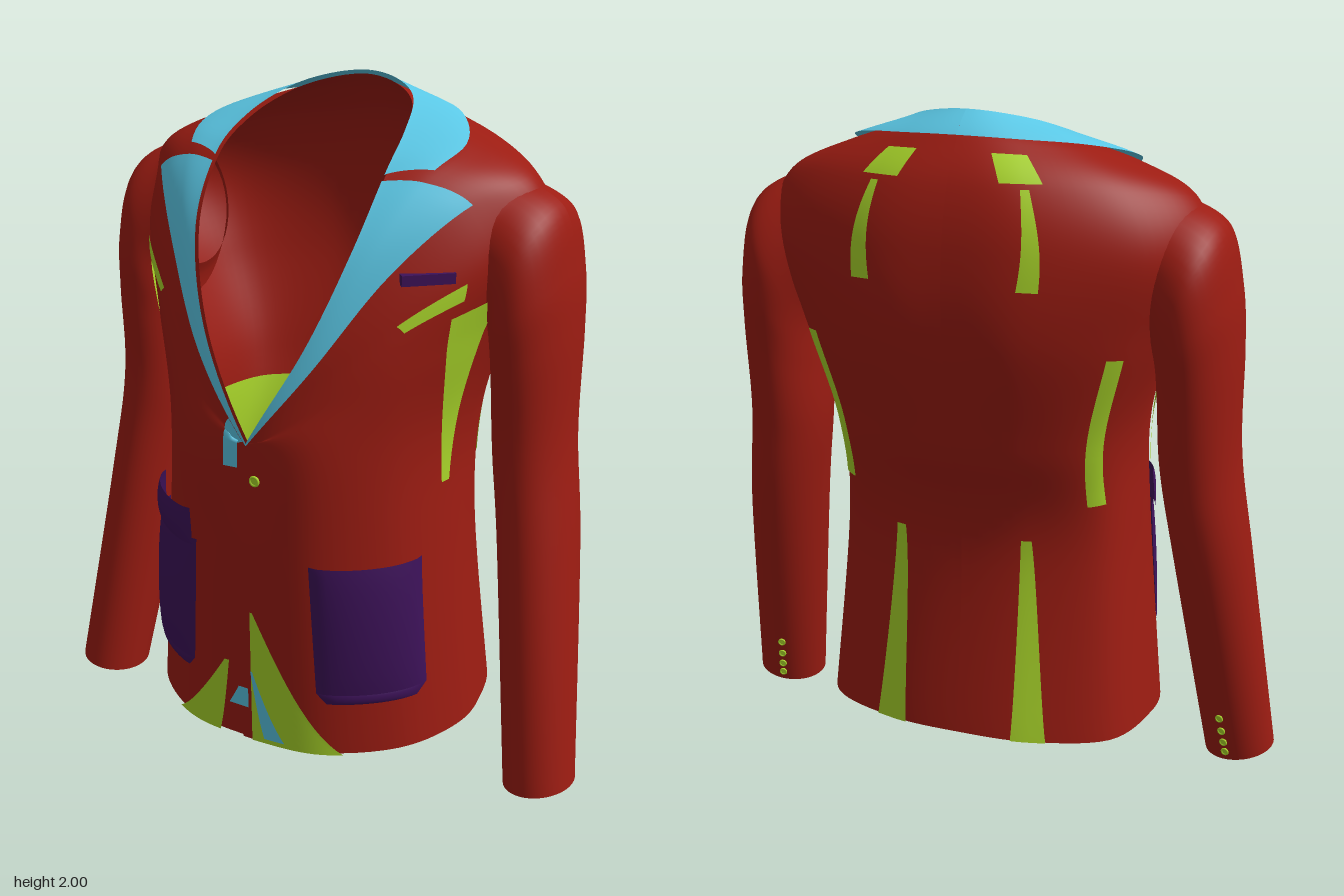
import * as THREE from 'three';

const RED = 0x9c1c12, LIME = 0xaad62a, CYAN = 0x5bc8e6, PURPLE = 0x3d1259;
const mat = (color) => new THREE.MeshStandardMaterial({ color, side: THREE.DoubleSide, roughness: 0.9 });
const lerp = THREE.MathUtils.lerp;

// Waist section: widths and depths at eight stations from front centre round to back centre
const WIDTH = [0, .43, .8, .98, 1, .86, .43, 0];
const DEPTH = [1, .96, .7, .34, 0, -.62, -.92, -1];
const waistRing = (yFront, yBack, w, zMid, zFront, zBack) => WIDTH.map((x, i) => [
  x * w, lerp(yFront, yBack, i / 7), zMid + DEPTH[i] * (DEPTH[i] > 0 ? zFront - zMid : zMid - zBack),
]);

// Armpit, shoulder and neckline sections at the same stations
const ARMPIT = [[0, 1.06, .455], [.2, 1.2, .41], [.38, 1.3, .3], [.5, 1.35, .13], [.54, 1.38, -.1], [.47, 1.4, -.3], [.22, 1.42, -.435], [0, 1.42, -.45]];
const SHOULDER = [[0, 1.072, .455], [.18, 1.31, .405], [.34, 1.56, .28], [.49, 1.73, .11], [.6, 1.78, -.08], [.45, 1.82, -.27], [.21, 1.83, -.38], [0, 1.83, -.4]];
const NECK = [[0, 1.08, .455], [.155, 1.36, .405], [.245, 1.62, .305], [.268, 1.8, .165], [.252, 1.89, .02], [.2, 1.95, -.13], [.11, 1.985, -.21], [0, 2, -.24]];

// Section halfway between two others, filled out away from the front edge
const between = (a, b, widen, raise, push) => a.map((p, i) => {
  const k = Math.min(i / 3, 1), [x, y, z] = p.map((c, n) => (c + b[i][n]) / 2);
  return [x * (1 + widen * k), y + raise * k, z + push * k];
});

const RINGS = [
  waistRing(.12, .17, .515, -.03, .45, -.37),
  waistRing(.75, .75, .46, -.02, .455, -.31),
  waistRing(1.05, 1.1, .455, -.05, .455, -.39),
  ARMPIT, between(ARMPIT, SHOULDER, .13, .035, -.02),
  SHOULDER, between(SHOULDER, NECK, 0, .025, 0), NECK,
];

// Catmull-Rom through points, with a function supplying neighbours past the ends
const cubic = (a, b, c, d, t) => b + .5 * t * (c - a + t * (2 * a - 5 * b + 4 * c - d + t * (3 * (b - c) + d - a)));
function spline(get, n, t) {
  const i = Math.min(Math.floor(t), n - 2), f = t - i;
  const [a, b, c, d] = [get(i - 1), get(i), get(i + 1), get(i + 2)];
  return b.map((_, k) => cubic(a[k], b[k], c[k], d[k], f));
}
const clampGet = (list) => (i) => list[Math.min(Math.max(i, 0), list.length - 1)];

// Sections mirror at the back but keep a sharp V at the front
function ringPoint(ring, u) {
  return spline((i) => {
    if (i < 0) return [-ring[1][0], 2 * ring[0][1] - ring[1][1], ring[1][2]];
    if (i > 7) return [-ring[6][0], ring[6][1], ring[6][2]];
    return ring[i];
  }, 8, u);
}

// Torso surface: u from -7 (back) through 0 (front) to 7 (back), v from 0 (hem) to 7 (neckline)
function surface(u, v) {
  const rows = RINGS.map((r) => ringPoint(r, Math.abs(u)));
  const [x, y, z] = spline(clampGet(rows), 8, v);
  return new THREE.Vector3(u < 0 ? -x : x, y, z);
}
function offsetSurface(u, v, off) {
  const e = .02;
  const du = surface(Math.min(u + e, 7), v).sub(surface(Math.max(u - e, -7), v));
  const dv = surface(u, Math.min(v + e, 7)).sub(surface(u, Math.max(v - e, 0)));
  return surface(u, v).addScaledVector(du.cross(dv).normalize(), off);
}

// Smooth sheet from a function of s and t in 0..1
function sheet(name, color, fn, nu, nv) {
  const pos = [], idx = [];
  for (let j = 0; j <= nv; j++) for (let i = 0; i <= nu; i++) {
    pos.push(...fn(i / nu, j / nv).toArray());
    if (i < nu && j < nv) {
      const a = j * (nu + 1) + i, d = a + nu + 1;
      idx.push(a, a + 1, d, a + 1, d + 1, d);
    }
  }
  const g = new THREE.BufferGeometry();
  g.setAttribute('position', new THREE.Float32BufferAttribute(pos, 3));
  g.setIndex(idx);
  g.computeVertexNormals();
  const m = new THREE.Mesh(g, mat(color));
  m.name = name;
  return m;
}

// Four-sided panel lying on the torso: bottom and top are [uStart, uEnd, v]
function panel(name, color, bottom, top, off = .006, bulge = 0, n = 14) {
  return sheet(name, color, (s, t) => {
    const u = lerp(lerp(bottom[0], top[0], t), lerp(bottom[1], top[1], t), s);
    const puff = bulge * Math.sqrt(Math.sin(Math.PI * s) * Math.sin(Math.PI * lerp(.08, .85, t)));
    return offsetSurface(u, lerp(bottom[2], top[2], t), off + puff);
  }, n, n);
}

// Sleeve sections: inner x, inner y, outer x, outer y, front z, back z
const SLEEVE = [
  [.49, 1.4, .57, 1.78, .1, -.28], [.505, 1.36, .69, 1.71, .12, -.31], [.515, 1.3, .735, 1.54, .125, -.305],
  [.52, 1.2, .75, 1.36, .11, -.28], [.53, 1, .757, 1.05, .09, -.24], [.57, .72, .8, .72, .115, -.19],
  [.67, .01, .88, .04, .21, -.02],
];
function sleevePoint(side, a, w) {
  const [ix, iy, ox, oy, zf, zb] = spline(clampGet(SLEEVE), 7, w);
  const c = (1 + Math.cos(a)) / 2, s = (1 + Math.sin(a)) / 2;
  return new THREE.Vector3(side * lerp(ix, ox, c), lerp(iy, oy, c), lerp(zb, zf, s));
}

function button(name, r, p, dir) {
  const b = new THREE.Group();
  b.name = name;
  const rim = new THREE.Mesh(new THREE.TorusGeometry(r * .75, r * .25, 8, 18), mat(LIME));
  const disc = new THREE.Mesh(new THREE.CylinderGeometry(r * .8, r * .8, r * .25, 18), mat(LIME));
  disc.rotation.x = Math.PI / 2;
  b.add(rim, disc);
  b.position.copy(p);
  b.quaternion.setFromUnitVectors(new THREE.Vector3(0, 0, 1), dir.normalize());
  return b;
}

export function createModel() {
  const g = new THREE.Group();
  g.name = 'jacket';

  // Body shell and lower lining
  g.add(sheet('body', RED, (s, t) => surface(lerp(-7, 7, s), 7 * t), 112, 70));
  g.add(sheet('lining', LIME, (s, t) => offsetSurface(lerp(-7, 7, s), 1.7 * t, -.01), 84, 16));

  // Front overlap, lapel tip and button
  g.add(panel('frontOverlap', RED, [-.15, .4, 0], [-.15, .3, 2], .008));
  g.add(panel('lapelTip', CYAN, [-.38, -.15, 1.75], [-.3, -.05, 5], .014));
  g.add(button('frontButton', .017, new THREE.Vector3(.025, .97, .466), new THREE.Vector3(0, 0, 1)));

  for (const side of [1, -1]) {
    const label = side > 0 ? 'left' : 'right';
    const add = (name, color, b, t, ...rest) => {
      const flip = ([u0, u1, v]) => (side > 0 ? [u0, u1, v] : [-u1, -u0, v]);
      g.add(panel(label + name, color, flip(b), flip(t), ...rest));
    };

    // Lapel and collar, with a notch between them
    add('Lapel', CYAN, [0, 3.05, 5], [0, 2.9, 7], .013, 0, 24);
    add('Collar', CYAN, [3.2, 7, 6.05], [3, 7, 7], .013, 0, 24);

    // Hip pocket with a narrowed lower edge
    add('Pocket', PURPLE, [.97, 2.5, .38], [.93, 2.55, .97], .01, .03);
    add('PocketBase', PURPLE, [1.1, 2.32, .33], [.97, 2.5, .38], .01, .01);

    // Lining-coloured patches at the underarm, chest and back
    add('UnderarmPatch', LIME, [3, 3.2, 1.5], [2.6, 3.3, 3.5]);
    add('ChestPatch', LIME, [2, 2.7, 3.7], [1.9, 2.7, 3.95]);
    add('BackPatch', LIME, [5.8, 6.3, 5.1], [5.9, 6.4, 5.7]);
    add('BackSeamStrip', LIME, [5.9, 6.12, 3.6], [5.95, 6.05, 5]);
    add('BackVent', LIME, [5.8, 6.25, 0], [5.95, 6.1, 1.1]);
    add('SideBackPatch', LIME, [4.9, 5.2, 1.4], [5, 5.2, 2.9]);

    // Sleeve
    g.add(sheet(label + 'Sleeve', RED, (s, t) => sleevePoint(side, side * s * Math.PI * 2, 6 * t), 40, 54));

    // Cuff buttons
    for (let k = 0; k < 4; k++) {
      const p = sleevePoint(side, -1.75, 5.92 - k * .07);
      p.z -= .004;
      g.add(button(label + 'CuffButton', .013, p, new THREE.Vector3(-side * .2, -.1, -1)));
    }
  }

  // Front hem patches
  g.add(panel('leftHemPatch', LIME, [0, 1.28, 0], [0, .04, .68], .012));
  g.add(panel('leftHemFacing', CYAN, [.2, .5, .05], [0, .03, .42], .016));
  g.add(panel('rightHemPatch', LIME, [-1.3, -.5, 0], [-.42, -.35, .44], .012));
  g.add(panel('rightHemFacing', CYAN, [-.35, -.05, .23], [-.2, -.05, .33], .012));

  // Pocket flap on the right, breast pocket on the left
  g.add(panel('rightPocketFlap', PURPLE, [-2.5, -.95, .94], [-2.4, -1, 1.2], .022, .025));
  const breast = new THREE.Mesh(new THREE.BoxGeometry(.15, .03, .03), mat(PURPLE));
  breast.name = 'breastPocket';
  breast.position.set(.43, 1.555, .222);
  breast.rotation.y = .72;
  g.add(breast);
  return g;
}
